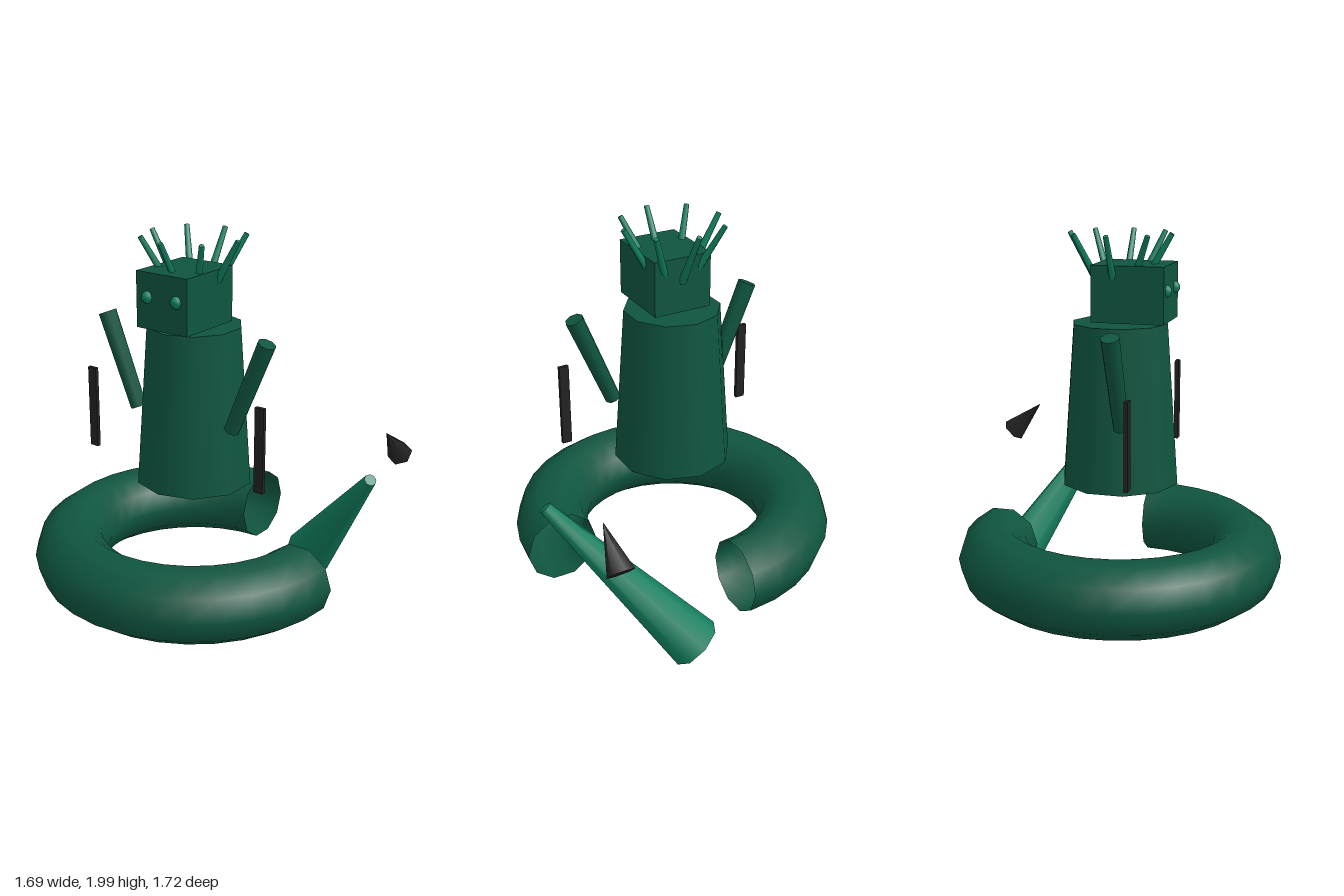
import * as THREE from 'three';

export function createModel() {
  const model = new THREE.Group();
  const CX = -0.025, CZ = 0.037; // axis of the figure

  const green = new THREE.MeshStandardMaterial({ color: 0x0f5540, side: THREE.DoubleSide });
  green.name = 'darkGreen';
  const light = new THREE.MeshStandardMaterial({ color: 0x107f60 });
  light.name = 'lightGreen';
  const black = new THREE.MeshStandardMaterial({ color: 0x222222 });
  black.name = 'charcoal';

  const add = (name, geometry, material, x, y, z) => {
    const mesh = new THREE.Mesh(geometry, material);
    mesh.name = name;
    mesh.position.set(x, y, z);
    model.add(mesh);
    return mesh;
  };

  // Tapered rod from point a (radius ra) to point b (radius rb)
  const up = new THREE.Vector3(0, 1, 0);
  const rod = (name, a, b, ra, rb, sides, material) => {
    const from = new THREE.Vector3(...a), to = new THREE.Vector3(...b);
    const dir = to.clone().sub(from);
    const mid = from.add(to).multiplyScalar(0.5);
    const mesh = add(name, new THREE.CylinderGeometry(rb, ra, dir.length(), sides), material, mid.x, mid.y, mid.z);
    mesh.quaternion.setFromUnitVectors(up, dir.normalize());
    return mesh;
  };

  // Coiled lower body: three quarters of an open ring
  const ring = new THREE.TorusGeometry(0.638, 0.187, 10, 24, Math.PI * 1.5).rotateX(Math.PI / 2);
  add('coil', ring, green, CX, 0.357, CZ);

  // Torso and head
  add('torso', new THREE.CylinderGeometry(0.24, 0.2975, 0.805, 10), green, CX, 1.1525, CZ);
  add('head', new THREE.BoxGeometry(0.3, 0.275, 0.36), green, CX, 1.7075, 0.11);

  // Eyes, arms and blades on both sides
  for (const s of [-1, 1]) {
    const side = s > 0 ? 'left' : 'right';
    add(side + 'Eye', new THREE.SphereGeometry(0.032, 8, 8), light, CX + s * 0.086, 1.725, 0.284);
    rod(side + 'Arm', [CX + s * 0.29, 1.09, 0.123], [CX + s * 0.483, 1.557, 0.123], 0.04, 0.046, 8, green);
    add(side + 'Blade', new THREE.BoxGeometry(0.05, 0.425, 0.02), black, CX + s * 0.513, 1.067, 0.212);
  }

  // Crown of eight spines leaning outward
  for (let i = 0; i < 8; i++) {
    const a = i * Math.PI / 4, c = Math.cos(a), s = Math.sin(a);
    rod('spine', [CX + c * 0.1, 1.72, CZ + s * 0.1], [CX + c * 0.256, 1.99, CZ + s * 0.256], 0.02, 0.013, 6, light);
  }

  // Raised tail and its dark stinger
  rod('tail', [0.24, 0.1, -0.68], [0.819, 0.837, -0.27], 0.135, 0.031, 8, light);
  const stinger = add('stinger', new THREE.ConeGeometry(0.067, 0.24, 6), black, 0.7, 0.855, -0.728);
  stinger.rotation.x = Math.PI / 4;

  return model;
}
